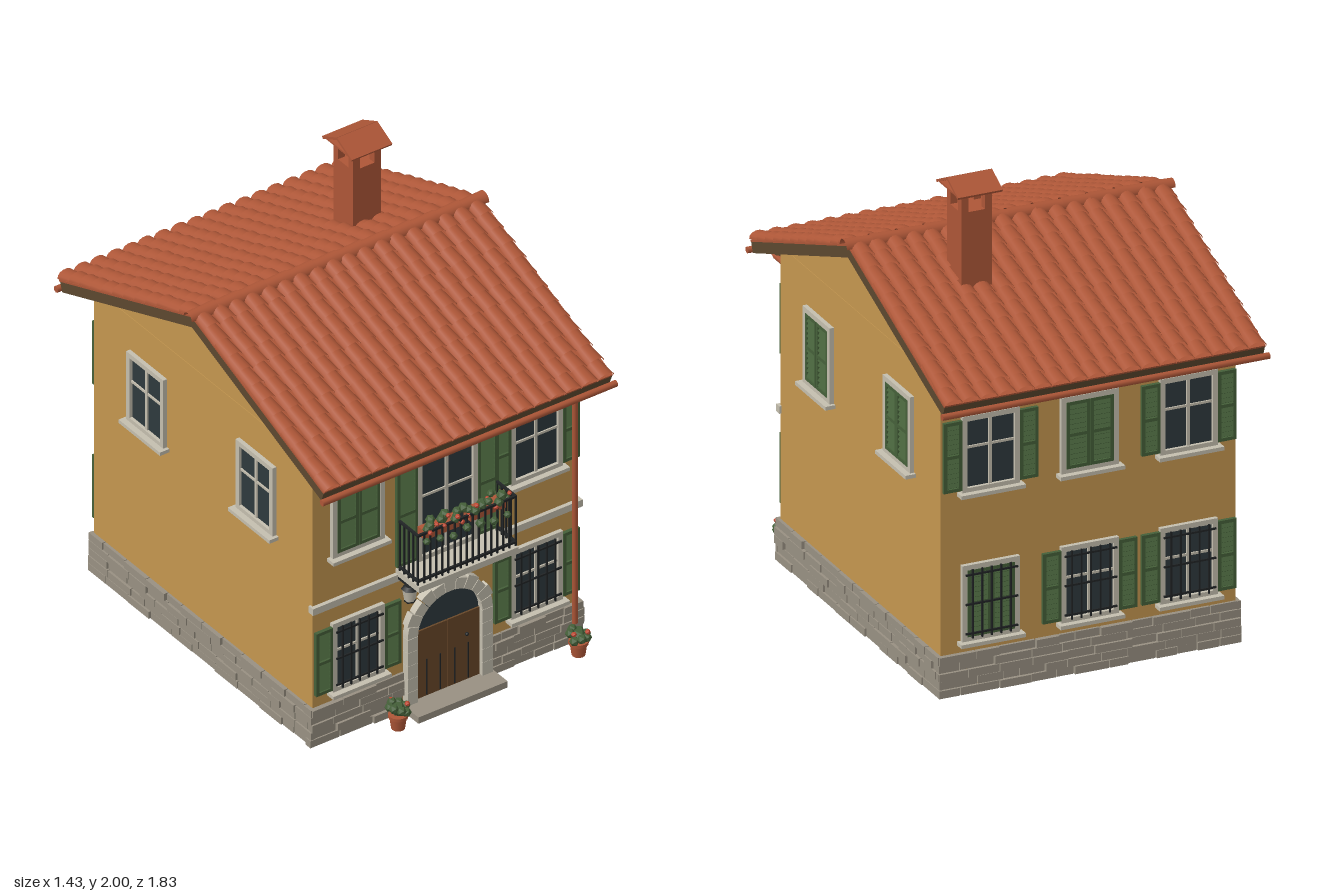
import * as THREE from 'three';
import { mergeGeometries } from 'three/addons/utils/BufferGeometryUtils.js';

const material = (name, color, extra = {}) => new THREE.MeshStandardMaterial({ name, color, ...extra });
const M = {
  wall: material('ochre plaster', 0xc4964f),
  tile: material('terracotta', 0xad5637, { side: THREE.DoubleSide }),
  trim: material('pale stone', 0xc4beae),
  stone: material('grey stone', 0x989082),
  green: material('green', 0x456039),
  door: material('door wood', 0x694829),
  timber: material('eaves timber', 0x5c482f),
  glass: material('dark glass', 0x2e393d),
  iron: material('black iron', 0x212425),
  flower: material('red flowers', 0xc24a33),
};

let seed = 7;
const rand = (a = 0, b = 1) => {
  seed = (seed * 16807) % 2147483647;
  return a + (b - a) * seed / 2147483647;
};
const box = (w, h, d, x = 0, y = 0, z = 0, rx = 0) =>
  new THREE.BoxGeometry(w, h, d).rotateX(rx).translate(x, y, z);
const cyl = (rt, rb, h, x, y, z, n = 10) => new THREE.CylinderGeometry(rt, rb, h, n).translate(x, y, z);
const blob = (r, x, y, z) => new THREE.IcosahedronGeometry(r, 0).translate(x, y, z);

// Merges a list of geometries into one named mesh
function add(parent, name, mat, geos) {
  const geo = mergeGeometries(geos.map(g => (g.index ? g.toNonIndexed() : g)));
  const mesh = new THREE.Mesh(geo, mat);
  mesh.name = name;
  parent.add(mesh);
  return mesh;
}
function group(parent, name, x = 0, y = 0, z = 0, ry = 0) {
  const g = new THREE.Group();
  g.name = name;
  g.position.set(x, y, z);
  g.rotation.y = ry;
  parent.add(g);
  return g;
}

// Louvred shutter leaf, centred at x, y
function shutter(w, h, x, y, z) {
  const s = 0.014, n = Math.round(h / 0.024);
  const geos = [box(w - 0.01, h - 0.01, 0.004, x, y, z - 0.006)];
  for (const k of [-1, 1]) {
    geos.push(box(s, h, 0.016, x + k * (w - s) / 2, y, z));
    geos.push(box(w, s, 0.016, x, y + k * (h - s) / 2, z));
  }
  geos.push(box(w, s, 0.016, x, y, z));
  for (let i = 0; i < n; i++)
    geos.push(box(w - s, 0.018, 0.004, x, y + (i + 0.5 - n / 2) * (h - 0.03) / n, z + 0.001, -0.6));
  return geos;
}

// Window in wall space: x along the wall, z outwards
function addWindow(wall, x, y, o = {}) {
  const { w = 0.25, h = 0.33, closed, shutters = 0, grille, sill = true, cross = 0.1 } = o;
  const f = 0.022, iw = w - 2 * f, ih = h - 2 * f;
  const g = group(wall, 'window', x, y, 0);
  const frame = [box(w, f, 0.022, 0, (h - f) / 2, 0.008), box(w, f, 0.022, 0, (f - h) / 2, 0.008)];
  for (const k of [-1, 1]) frame.push(box(f, h, 0.022, k * (w - f) / 2, 0, 0.008));
  if (sill) frame.push(box(w + 0.03, 0.016, 0.05, 0, -h / 2 - 0.004, 0.02));
  if (!closed) {
    frame.push(box(0.014, ih, 0.012, 0, 0, 0.006), box(iw, 0.01, 0.01, 0, ih * cross, 0.006));
    add(g, 'glass', M.glass, [box(iw, ih, 0.006, 0, 0, 0.002)]);
  } else {
    add(g, 'closedShutters', M.green,
      [-1, 1].flatMap(k => shutter(iw / 2 - 0.002, ih, k * iw / 4, 0, 0.012)));
  }
  add(g, 'frame', M.trim, frame);
  if (shutters) add(g, 'openShutters', M.green,
    [-1, 1].flatMap(k => shutter(shutters, h - 0.03, k * (w + shutters) / 2, 0, 0.012)));
  if (grille) {
    const bars = [];
    for (let i = -2; i <= 2; i++) bars.push(box(0.007, ih + 0.01, 0.007, i * iw / 5, 0, 0.026));
    for (const k of [-0.44, 0, 0.44]) bars.push(box(iw + 0.02, 0.008, 0.006, 0, k * ih, 0.026));
    add(g, 'grille', M.iron, bars);
  }
}

// Courses of irregular stones along one wall
function stoneCourses(wall, half, gap) {
  const geos = [], rows = 5, rh = 0.036;
  for (let r = 0; r < rows; r++) {
    for (let x = -half; x < half - 0.005;) {
      let end = Math.min(x + rand(0.07, 0.17), half);
      if (half - end < 0.03) end = half;
      const d = rand(0.012, 0.024);
      const a = x, b = end;
      x = end;
      const spans = gap ? [[a, Math.min(b, -gap)], [Math.max(a, gap), b]] : [[a, b]];
      for (const [p, q] of spans)
        if (q - p > 0.008) geos.push(box(q - p - 0.004, rh - 0.003, d, (p + q) / 2, (r + 0.5) * rh, d / 2 - 0.002));
    }
  }
  add(wall, 'stoneBase', M.stone, geos);
}

// Arched doorway with stone surround
function addDoor(wall) {
  const g = group(wall, 'doorway');
  const stones = [], n = 11, cy = 0.345, ri = 0.155;
  for (let i = 0; i < n; i++) {
    const a = Math.PI * i / n + 0.008, b = Math.PI * (i + 1) / n - 0.008;
    const s = new THREE.Shape();
    s.absarc(0, cy, i % 2 ? 0.215 : 0.205, a, b, false);
    s.absarc(0, cy, ri, b, a, true);
    stones.push(new THREE.ExtrudeGeometry(s, { depth: 0.034, bevelEnabled: false, curveSegments: 4 }));
  }
  for (const k of [-1, 1]) for (let i = 0; i < 5; i++)
    stones.push(box(0.05, 0.062, 0.034, k * 0.18, 0.03 + (i + 0.5) * 0.063, 0.017));
  add(g, 'doorSurround', M.trim, stones);
  add(g, 'fanlight', M.glass, [new THREE.CircleGeometry(ri + 0.002, 24, 0, Math.PI).translate(0, cy, 0.006)]);
  add(g, 'doorLeaves', M.door, [-1, 1].map(k => box(0.154, 0.32, 0.014, k * 0.078, 0.19, 0.007)));
  add(g, 'doorGrooves', M.iron, [...[-0.1, -0.035, 0.035, 0.1].map(x => box(0.005, 0.17, 0.004, x, 0.12, 0.014)),
    blob(0.009, 0.09, 0.25, 0.02)]);
  add(g, 'doorstep', M.stone, [box(0.43, 0.03, 0.12, 0, 0.015, 0.06)]);
}

// Balcony with railing, brackets and flower boxes
function addBalcony(wall) {
  const g = group(wall, 'balcony');
  add(g, 'balconySlab', M.trim, [box(0.48, 0.028, 0.16, 0, 0.672, 0.08)]);
  add(g, 'brackets', M.iron, [-0.17, 0, 0.17].map(x => box(0.018, 0.022, 0.085, x, 0.625, 0.055, 0.65)));
  const bars = [];
  for (const y of [0.705, 0.922]) {
    bars.push(box(0.48, 0.01, 0.01, 0, y, 0.145));
    for (const k of [-1, 1]) bars.push(box(0.01, 0.01, 0.145, k * 0.235, y, 0.072));
  }
  for (let i = 0; i <= 16; i++) bars.push(box(0.007, 0.24, 0.007, -0.235 + i * 0.0294, 0.805, 0.145));
  for (const k of [-1, 1]) for (let i = 0; i < 4; i++)
    bars.push(box(0.007, 0.24, 0.007, k * 0.235, 0.805, 0.02 + i * 0.031));
  add(g, 'railing', M.iron, bars);
  add(g, 'flowerBoxes', M.tile, [-0.11, 0.11].map(x => box(0.17, 0.04, 0.05, x, 0.9, 0.112)));
  const leaves = [], blooms = [];
  for (let i = 0; i < 26; i++) {
    const x = -0.2 + i * 0.0162, trail = i % 4 === 0;
    leaves.push(blob(rand(0.016, 0.024), x, trail ? rand(0.85, 0.89) : rand(0.92, 0.955), trail ? 0.155 : rand(0.1, 0.145)));
    if (i % 2) blooms.push(blob(rand(0.009, 0.014), x, rand(0.9, 0.97), rand(0.13, 0.165)));
  }
  add(g, 'balconyLeaves', M.green, leaves);
  add(g, 'balconyFlowers', M.flower, blooms);
}

function addPot(house, x, z) {
  const g = group(house, 'flowerPot', x, 0, z);
  add(g, 'pot', M.tile, [cyl(0.036, 0.028, 0.06, 0, 0.03, 0, 12), cyl(0.041, 0.041, 0.014, 0, 0.06, 0, 12)]);
  const leaves = [blob(0.032, 0, 0.09, 0)], blooms = [];
  for (let i = 0; i < 7; i++) {
    const a = i * 0.9, c = Math.cos(a) * 0.034, s = Math.sin(a) * 0.034;
    leaves.push(blob(0.021, c, rand(0.08, 0.11), s));
    if (i % 2) blooms.push(blob(0.012, c * 1.1, rand(0.105, 0.125), s * 1.1));
  }
  add(g, 'potLeaves', M.green, leaves);
  add(g, 'potFlowers', M.flower, blooms);
}

// One roof slope, built flat (ridge at y = 0, eave at y = -L) then pitched
function addSlope(roof, ry) {
  const pitch = Math.atan(0.378), L = 0.955, cols = 18, rows = 12, step = L / rows;
  const turn = group(roof, 'roofSlope', 0, 1.655, 0, ry);
  const g = group(turn, 'slopePlane');
  g.rotation.x = pitch - Math.PI / 2;
  add(g, 'roofBoards', M.timber, [box(1.39, L, 0.046, 0, -L / 2, -0.024)]);
  add(g, 'tileBed', M.tile, [box(1.395, L, 0.008, 0, -L / 2, 0.003)]);
  const tiles = [], rafters = [];
  for (let c = 0; c < cols; c++) for (let r = 0; r < rows; r++)
    tiles.push(new THREE.CylinderGeometry(0.033, 0.041, step * 1.2, 7, 1, true, -Math.PI / 2, Math.PI)
      .scale(1, 1, 0.7).rotateX(-0.1).rotateZ(rand(-0.03, 0.03))
      .translate((c + 0.5 - cols / 2) * 0.0775 + rand(-0.003, 0.003), -(r + 0.5) * step, 0.003 + rand(0, 0.003)));
  add(g, 'roofTiles', M.tile, tiles);
  for (let i = -4; i <= 4; i++) rafters.push(box(0.022, 0.17, 0.026, i * 0.15, -0.86, -0.058));
  add(g, 'rafterTails', M.timber, rafters);
}

export function createModel() {
  const house = new THREE.Group();
  house.name = 'house';

  // Walls and gable
  add(house, 'walls', M.wall, [box(1.28, 1.35, 1.48, 0, 0.675, 0)]);
  const gable = new THREE.Shape([[-0.72, 1.345], [0.72, 1.345], [0, 1.62]].map(p => new THREE.Vector2(...p)));
  add(house, 'gables', M.wall, [new THREE.ExtrudeGeometry(gable, { depth: 1.276, bevelEnabled: false })
    .translate(0, 0, -0.638).rotateY(Math.PI / 2)]);

  const front = group(house, 'frontWall', 0, 0, 0.74);
  const back = group(house, 'backWall', 0, 0, -0.74, Math.PI);
  const left = group(house, 'leftWall', 0.64, 0, 0, Math.PI / 2);
  const right = group(house, 'rightWall', -0.64, 0, 0, -Math.PI / 2);
  const up = 1.03, low = 0.39, X = 0.43, S = 0.08;

  // Front
  addWindow(front, -X, up, { closed: true });
  addWindow(front, X, up, { shutters: S });
  addWindow(front, 0, 0.94, { w: 0.29, h: 0.51, shutters: 0.1, sill: false });
  for (const k of [-1, 1]) addWindow(front, k * X, low, { shutters: S, grille: true });
  add(front, 'stringCourse', M.trim, [box(1.3, 0.032, 0.03, 0, 0.65, 0.003)]);
  addDoor(front);
  addBalcony(front);

  // Back and sides
  for (const k of [-1, 0, 1]) {
    addWindow(back, k * X, up, k ? { shutters: S } : { closed: true });
    addWindow(back, k * X, low, k < 0 ? { closed: true, grille: true } : { shutters: S, grille: true });
  }
  for (const k of [-1, 1]) {
    addWindow(left, k * 0.37, up, { closed: true });
    addWindow(right, k * 0.37, up);
  }
  stoneCourses(front, 0.655, 0.205);
  stoneCourses(back, 0.655, 0);
  stoneCourses(left, 0.755, 0);
  stoneCourses(right, 0.755, 0);

  // Wall lantern
  const lamp = group(front, 'lantern', -0.235, 0, 0.09);
  add(lamp, 'lanternBody', M.trim, [cyl(0.031, 0.022, 0.055, 0, 0.612, 0, 6)]);
  add(lamp, 'lanternFittings', M.iron, [cyl(0.02, 0.036, 0.014, 0, 0.647, 0, 6), cyl(0.024, 0.024, 0.006, 0, 0.584, 0, 6),
    box(0.01, 0.01, 0.09, 0, 0.65, -0.045)]);

  addPot(house, -0.295, 0.835);
  addPot(house, 0.575, 0.835);

  // Roof, ridge, gutters and downpipe
  const roof = group(house, 'roof');
  addSlope(roof, 0);
  addSlope(roof, Math.PI);
  const ridge = [];
  for (let i = 0; i < 12; i++)
    ridge.push(new THREE.CylinderGeometry(0.028, 0.034, 0.132, 8, 1, true, -Math.PI / 2, Math.PI)
      .rotateX(-Math.PI / 2).rotateY(Math.PI / 2).translate((i - 5.5) * 0.118, 1.653, 0));
  add(roof, 'ridgeTiles', M.tile, ridge);
  add(roof, 'gutters', M.tile, [-1, 1].map(k =>
    new THREE.CylinderGeometry(0.014, 0.014, 1.42, 8).rotateZ(Math.PI / 2).translate(0, 1.28, k * 0.9)));
  const pipe = new THREE.CurvePath();
  const P = [[0.605, 1.275, 0.89], [0.605, 1.252, 0.87], [0.605, 1.252, 0.768], [0.605, 0.1, 0.768]].map(p => new THREE.Vector3(...p));
  for (let i = 0; i < 3; i++) pipe.add(new THREE.LineCurve3(P[i], P[i + 1]));
  add(house, 'downpipe', M.tile, [new THREE.TubeGeometry(pipe, 60, 0.012, 8)]);

  // Chimney with open lantern top and gabled cap
  const ch = group(house, 'chimney', 0.293, 0, -0.268);
  const stack = [box(0.134, 0.4, 0.134, 0, 1.665, 0), box(0.18, 0.008, 0.18, 0, 1.946, 0)];
  for (const i of [-1, 1]) for (const k of [-1, 1]) stack.push(box(0.032, 0.08, 0.032, i * 0.051, 1.904, k * 0.051));
  add(ch, 'chimneyStack', M.tile, stack);
  add(ch, 'chimneyCap', M.tile, [-1, 1].map(k => box(0.195, 0.011, 0.112, 0, 1.97, k * 0.049, k * 0.46)));
  return house;
}
